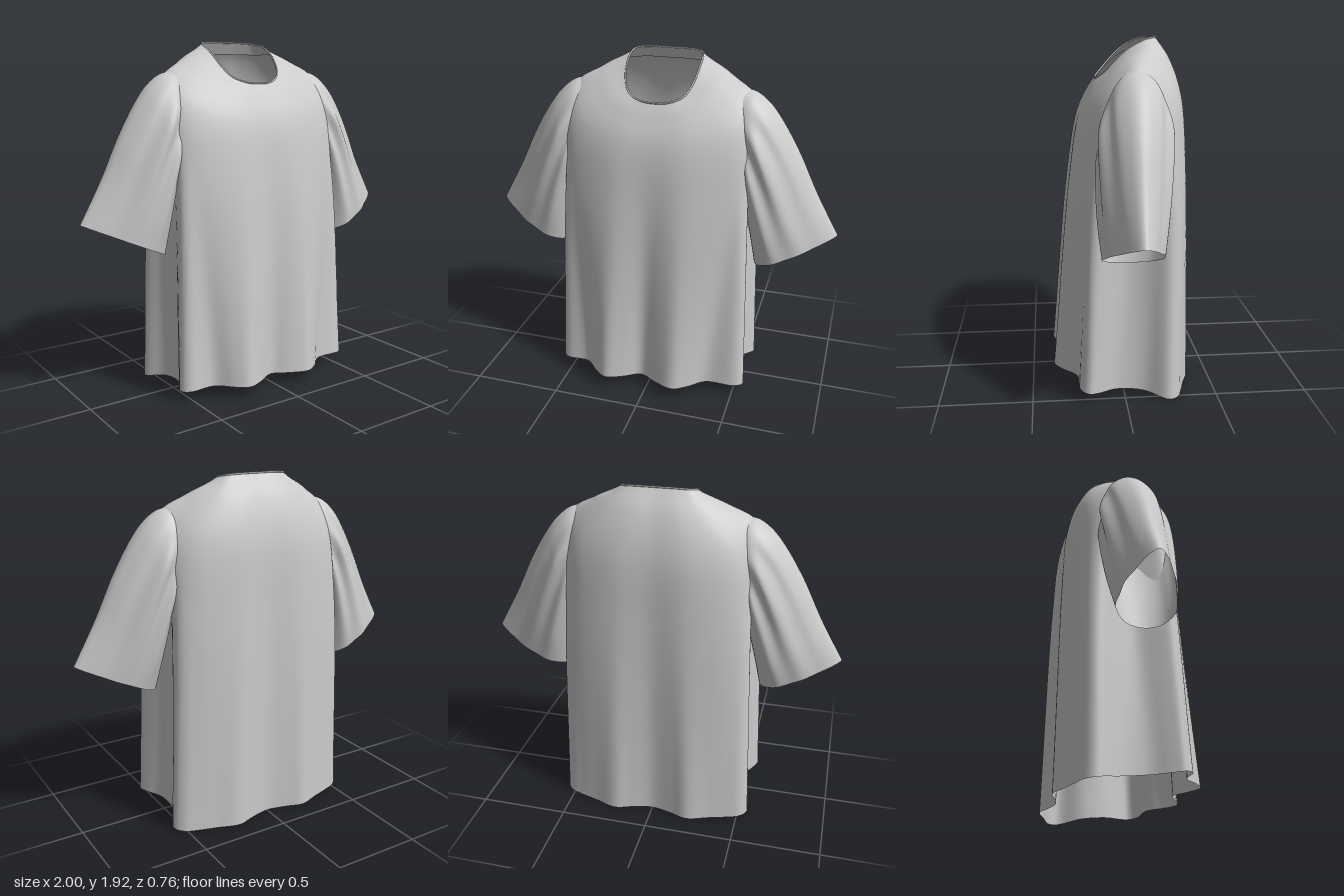
import * as THREE from 'three';

const V = (x, y, z) => new THREE.Vector3(x, y, z);
const cloth = new THREE.MeshStandardMaterial({ color: 0xcccccc, side: THREE.DoubleSide, roughness: 0.9 });

// Closed loop from half a section (centre back, round the left side, to centre front).
function loop(half) {
  const left = half.map(p => V(...p));
  const right = left.slice(1, -1).reverse().map(p => V(-p.x, p.y, p.z));
  return new THREE.CatmullRomCurve3([...left, ...right], true, 'catmullrom', 0.5);
}

// Smooth skin through rows of points; every row is a closed ring.
function skin(name, rows) {
  const n = rows[0].length, index = [];
  for (let i = 0; i < rows.length - 1; i++) {
    for (let j = 0; j < n; j++) {
      const k = (j + 1) % n;
      const a = i * n + j, b = a + n, c = i * n + k, d = c + n;
      index.push(a, b, c, b, d, c);
    }
  }
  const g = new THREE.BufferGeometry().setFromPoints(rows.flat());
  g.setIndex(index);
  g.computeVertexNormals();
  const mesh = new THREE.Mesh(g, cloth);
  mesh.name = name;
  return mesh;
}

// Half sections of the body, hem to neck
const hem = [
  [0, 0, -0.33], [0.12, 0, -0.355], [0.22, 0, -0.383], [0.34, 0, -0.345], [0.44, 0, -0.315],
  [0.52, 0.003, -0.285], [0.555, 0.01, -0.22], [0.49, 0.035, -0.1], [0.49, 0.05, 0.04], [0.54, 0.055, 0.14],
  [0.56, 0.06, 0.2], [0.51, 0.065, 0.245], [0.37, 0.07, 0.255], [0.28, 0.07, 0.335], [0.2, 0.07, 0.38],
  [0.1, 0.07, 0.345], [0, 0.07, 0.295],
];
const chest = [
  [0, 1.2, -0.345], [0.2, 1.2, -0.36], [0.41, 1.2, -0.31], [0.51, 1.25, -0.22], [0.47, 1.28, -0.05],
  [0.52, 1.2, 0.13], [0.43, 1.17, 0.205], [0.2, 1.15, 0.278], [0, 1.15, 0.265],
];
const shoulder = [
  [0, 1.6, -0.33], [0.2, 1.6, -0.33], [0.39, 1.6, -0.27], [0.48, 1.65, -0.165], [0.515, 1.705, -0.05],
  [0.49, 1.635, 0.06], [0.4, 1.55, 0.15], [0.2, 1.5, 0.215], [0, 1.48, 0.225],
];
const yoke = [
  [0, 1.8, -0.27], [0.14, 1.8, -0.27], [0.27, 1.8, -0.23], [0.34, 1.82, -0.14], [0.35, 1.812, -0.06],
  [0.33, 1.765, 0.02], [0.27, 1.69, 0.1], [0.15, 1.635, 0.155], [0, 1.62, 0.165],
];
const neck = [
  [0, 1.915, -0.195], [0.1, 1.915, -0.195], [0.175, 1.91, -0.18], [0.2, 1.895, -0.12], [0.2, 1.85, -0.04],
  [0.187, 1.785, 0.03], [0.15, 1.725, 0.085], [0.08, 1.695, 0.118], [0, 1.688, 0.125],
];

// Body: vertical splines through matching points of all sections
function body() {
  const N = 160, M = 56;
  const loops = [hem, chest, shoulder, yoke, neck].map(loop);
  const rows = Array.from({ length: M + 1 }, () => []);
  for (let j = 0; j < N; j++) {
    const line = new THREE.CatmullRomCurve3(loops.map(l => l.getPoint(j / N)));
    for (let i = 0; i <= M; i++) {
      const p = line.getPoint(i / M);
      // front folds lean slightly to one side towards the hem
      const low = Math.max(0, 1 - p.y / 1.3);
      if (p.z > 0.2) p.x -= 0.035 * low * Math.cos(p.x / 0.56 * Math.PI / 2);
      rows[i].push(p);
    }
  }
  return skin('body', rows);
}

// Sleeve: rings between an upper line, an underarm line and a half depth
function sleeve(side) {
  const N = 96, M = 48;
  const path = pts => new THREE.CatmullRomCurve3(pts.map(p => V(p[0], p[1], 0)));
  const top = path([[0.42, 1.755], [0.505, 1.742], [0.585, 1.685], [0.655, 1.6], [0.76, 1.43], [0.87, 1.21], [1, 0.98]]);
  const under = path([[0.42, 1.46], [0.43, 1.38], [0.45, 1.29], [0.47, 1.2], [0.5, 1.06], [0.53, 0.92], [0.555, 0.785]]);
  const depth = path([[0.11, 0], [0.15, 1], [0.175, 2], [0.185, 3], [0.18, 4], [0.165, 5], [0.14, 6]]);
  const rows = [];
  for (let i = 0; i <= M; i++) {
    const u = i / M, a = top.getPoint(u), b = under.getPoint(u), d = depth.getPoint(u).x;
    const pleat = 0.1 * THREE.MathUtils.smoothstep(u, 0.1, 0.5) * (1 - 0.7 * u * u);
    const row = [];
    for (let j = 0; j < N; j++) {
      const t = j / N * Math.PI * 2, c = Math.cos(t), s = Math.sin(t);
      // hanging pleats, fading along the top edge
      const fold = 1 + pleat * Math.cos(9 * t) * s * s;
      const p = b.clone().lerp(a, (1 + c) / 2);
      // narrow ridge above, full below
      const taper = 1 - 0.5 * u * c;
      p.z = -0.06 + 0.035 * u - 0.015 * u * c - side * d * s * taper * fold;
      p.x *= side;
      row.push(p);
    }
    rows.push(row);
  }
  return skin(side > 0 ? 'leftSleeve' : 'rightSleeve', rows);
}

// Collar: fine rolled edge plus a band turned inside the neck
function collar() {
  const g = new THREE.Group();
  g.name = 'collar';
  const edge = loop(neck), lower = loop(yoke), N = 96;
  const roll = new THREE.Mesh(new THREE.TubeGeometry(edge, N, 0.005, 8, true), cloth);
  roll.name = 'collarEdge';
  const band = [0.45, 0.2, 0].map(k => Array.from({ length: N }, (_, j) => {
    const p = edge.getPoint(j / N).lerp(lower.getPoint(j / N), k);
    p.y -= 0.03 * k;
    p.x *= 1 - 0.06 * k;
    return p;
  }));
  g.add(roll, skin('neckBand', band));
  return g;
}

export function createModel() {
  const shirt = new THREE.Group();
  shirt.name = 'shirt';
  shirt.add(body(), sleeve(1), sleeve(-1), collar());
  return shirt;
}
